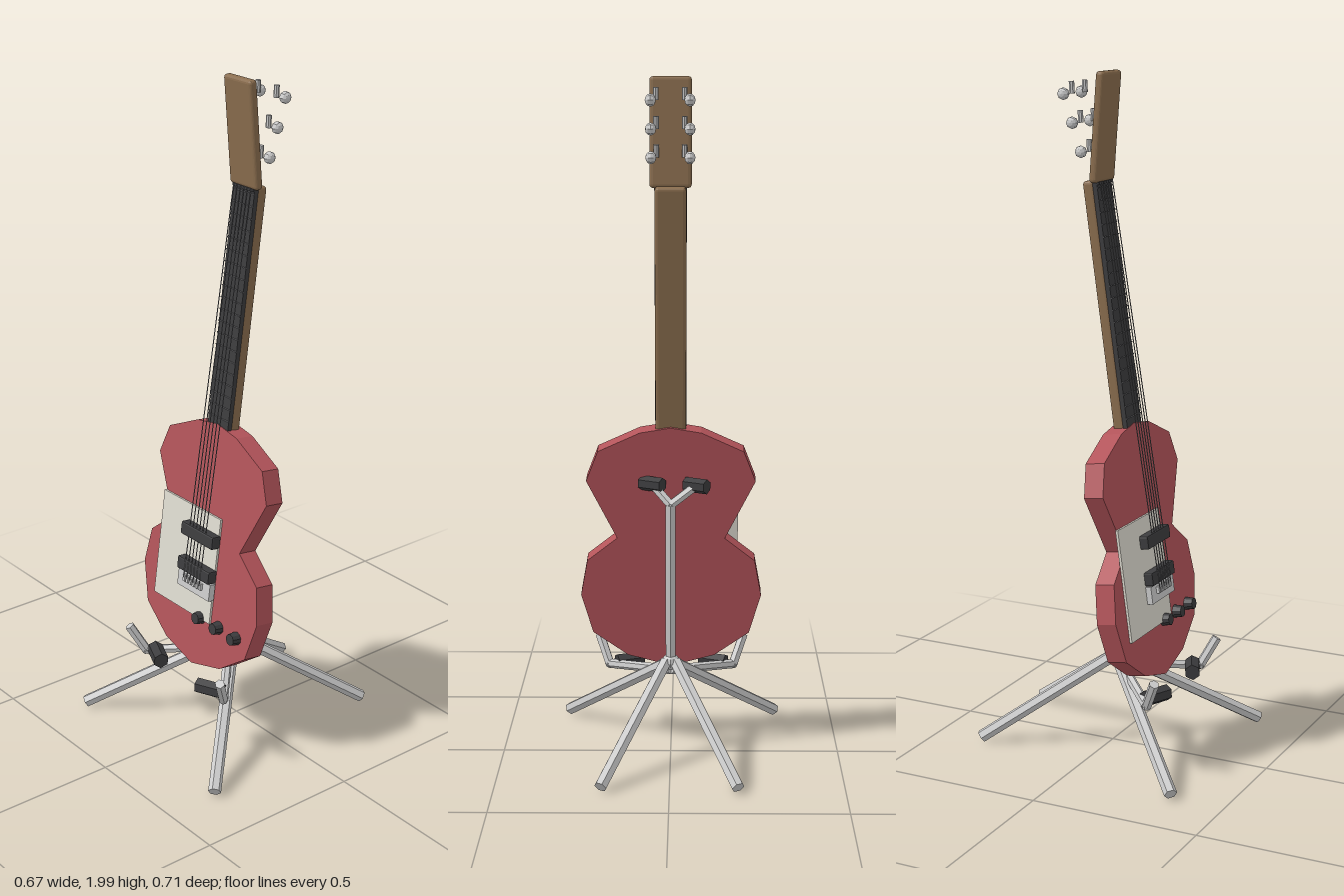
import * as THREE from 'three';
import { RoundedBoxGeometry } from 'three/addons/geometries/RoundedBoxGeometry.js';

const mat = (color) => new THREE.MeshStandardMaterial({ color, flatShading: true });
const steel = mat(0xcccccc), red = mat(0xb3545a), wood = mat(0x8a6d4e);
const dark = mat(0x3c3c3e), cream = mat(0xdedbd0), wire = mat(0x77777a);

const V = (x, y, z) => new THREE.Vector3(x, y, z);

function add(parent, name, geometry, material, x = 0, y = 0, z = 0) {
  const mesh = new THREE.Mesh(geometry, material);
  mesh.name = name;
  mesh.position.set(x, y, z);
  parent.add(mesh);
  return mesh;
}

// Straight rod between two points
function rod(parent, name, a, b, r, material, sides = 6) {
  const d = b.clone().sub(a);
  const mesh = add(parent, name, new THREE.CylinderGeometry(r, r, d.length(), sides), material);
  mesh.position.copy(a).add(b).multiplyScalar(0.5);
  mesh.quaternion.setFromUnitVectors(V(0, 1, 0), d.normalize());
  return mesh;
}

function buildGuitar() {
  const g = new THREE.Group();
  g.name = 'guitar';

  // Body: mirrored half outline, extruded
  const half = [[0, 0.75], [0.09, 0.735], [0.215, 0.677], [0.25, 0.585], [0.16, 0.405],
    [0.25, 0.333], [0.27, 0.222], [0.235, 0.1], [0.13, 0.025], [0, -0.01]];
  const mirrored = half.slice(1, -1).reverse().map(([x, y]) => [-x, y]);
  const outline = new THREE.Shape([...half, ...mirrored].map(([x, y]) => new THREE.Vector2(x, y)));
  const body = new THREE.ExtrudeGeometry(outline, { depth: 0.06, bevelEnabled: false });
  add(g, 'body', body, red, 0, 0, -0.03);

  // Pickguard, pickups and bridge
  add(g, 'pickguard', new THREE.BoxGeometry(0.27, 0.332, 0.008), cream, -0.065, 0.312, 0.033);
  for (const y of [0.408, 0.298]) {
    add(g, 'pickup', new RoundedBoxGeometry(0.15, 0.04, 0.032, 1, 0.005), dark, 0, y, 0.048);
  }
  add(g, 'bridge', new THREE.BoxGeometry(0.15, 0.052, 0.02), steel, 0, 0.25, 0.044);

  // Control knobs
  for (const x of [0.025, 0.108, 0.19]) {
    const knob = add(g, 'controlKnob', new THREE.CylinderGeometry(0.017, 0.02, 0.026, 10), dark, x, 0.15, 0.043);
    knob.rotation.x = Math.PI / 2;
  }

  // Neck, fretboard and frets
  add(g, 'neck', new RoundedBoxGeometry(0.09, 0.76, 0.036, 2, 0.01), wood, 0, 1.077, -0.002);
  add(g, 'fretboard', new THREE.BoxGeometry(0.092, 0.71, 0.014), dark, 0, 1.095, 0.021);
  for (let i = 0; i < 20; i++) {
    add(g, 'fret', new THREE.BoxGeometry(0.092, 0.003, 0.004), wire, 0, 0.77 + i * 0.035, 0.029);
  }
  add(g, 'nut', new THREE.BoxGeometry(0.09, 0.008, 0.014), dark, 0, 1.447, 0.027);

  // Strings and their saddles
  for (let i = 0; i < 6; i++) {
    const x = (i - 2.5) * 0.015;
    rod(g, 'string', V(x, 0.262, 0.064), V(x, 1.45, 0.036), 0.0016, wire, 5);
    add(g, 'saddle', new THREE.BoxGeometry(0.009, 0.02, 0.012), steel, x, 0.258, 0.057);
  }

  g.position.set(0, 0.25, 0.145);
  g.rotation.x = -0.139;
  return g;
}

function buildHead() {
  const g = new THREE.Group();
  g.name = 'head';
  const stock = add(g, 'headstock', new RoundedBoxGeometry(0.12, 0.312, 0.026, 2, 0.01), wood, 0, 1.844, -0.024);
  stock.rotation.x = 0.075;

  // Tuners: three a side, set behind the headstock
  for (const s of [-1, 1]) {
    for (let i = 0; i < 3; i++) {
      const y = 1.775 + i * 0.08, z = -0.073 - i * 0.0275;
      const button = add(g, 'tunerButton', new THREE.SphereGeometry(0.018, 8, 6), steel, s * 0.055, y, z);
      button.rotation.z = Math.PI / 2;
      button.scale.set(1, 0.85, 1);
      rod(g, 'tunerPost', V(s * 0.04, y, z + 0.02), V(s * 0.04, y + 0.035, z + 0.018), 0.008, steel, 8);
    }
  }
  return g;
}

function buildStand() {
  const g = new THREE.Group();
  g.name = 'stand';
  const hub = V(0, 0.28, 0.015);
  add(g, 'hub', new THREE.SphereGeometry(0.026, 8, 6), steel, hub.x, hub.y, hub.z);

  for (const s of [-1, 1]) {
    // Legs
    rod(g, 'frontLeg', V(s * 0.01, 0.275, 0.02), V(s * 0.322, 0.022, 0.342), 0.019, steel);
    rod(g, 'backLeg', V(s * 0.015, 0.28, 0.01), V(s * 0.195, 0.022, -0.345), 0.019, steel);
    // Cradle arm, upturned end and pad
    const corner = V(s * 0.19, 0.215, 0.203);
    rod(g, 'cradleArm', V(0, 0.25, 0.03), corner, 0.014, steel);
    rod(g, 'cradleEnd', corner, V(s * 0.222, 0.297, 0.242), 0.015, steel);
    add(g, 'cradleJoint', new THREE.SphereGeometry(0.015, 6, 4), steel, corner.x, corner.y, corner.z);
    rod(g, 'cradlePad', V(s * 0.167, 0.225, 0.187), V(s * 0.09, 0.225, 0.221), 0.024, dark);
  }

  // Upright with a forked back rest
  const top = V(0, 0.765, -0.015);
  rod(g, 'upright', hub, top, 0.017, steel);
  for (const c of [V(-0.075, 0.82, 0), V(0.055, 0.82, 0.022)]) {
    rod(g, 'restArm', top, c, 0.014, steel);
    const half = V(0.031, 0, 0.019);
    rod(g, 'restPad', c.clone().sub(half), c.clone().add(half), 0.022, dark);
  }
  return g;
}

export function createModel() {
  const model = new THREE.Group();
  model.name = 'guitarOnStand';
  model.add(buildGuitar(), buildHead(), buildStand());
  return model;
}
